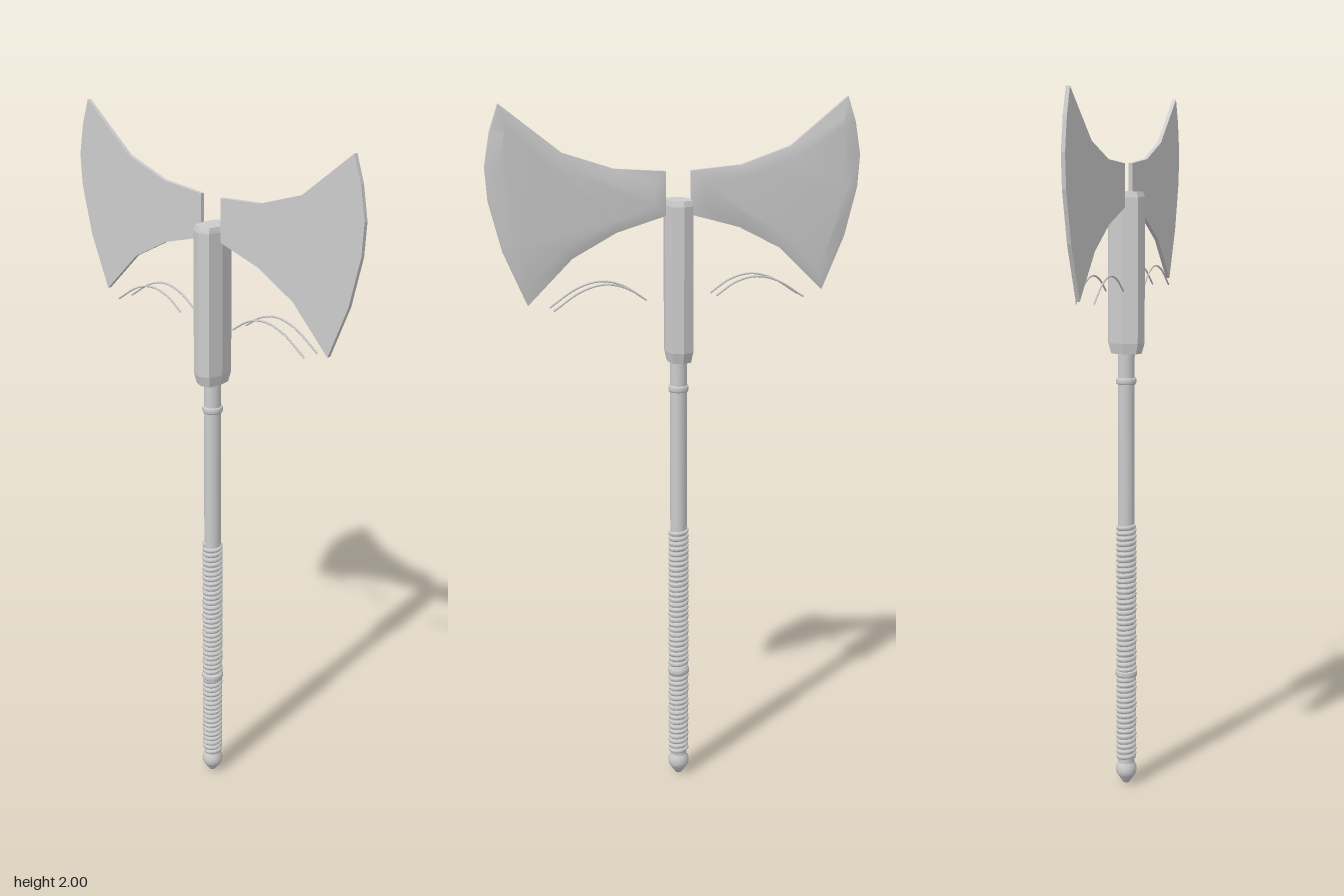
import * as THREE from 'three';
import { mergeGeometries } from 'three/addons/utils/BufferGeometryUtils.js';

const steel = new THREE.MeshStandardMaterial({ color: 0xcccccc });
steel.name = 'grey steel';
const facetedSteel = steel.clone();
facetedSteel.flatShading = true;

// Blade outline, counter-clockwise, for the +x side
const OUTLINE = [
  [0.036, 1.692], [0.176, 1.652], [0.3, 1.587], [0.424, 1.466], [0.488, 1.614], [0.523, 1.75],
  [0.529, 1.84], [0.513, 1.93], [0.489, 2.0], [0.323, 1.87], [0.18, 1.823], [0.036, 1.812],
];

function inset(points, d) {
  const n = points.length;
  const normal = (a, b) => new THREE.Vector2(a.y - b.y, b.x - a.x).normalize();
  return points.map((p, i) => {
    const n1 = normal(points[(i + n - 1) % n], p);
    const n2 = normal(p, points[(i + 1) % n]);
    return p.clone().addScaledVector(n1.clone().add(n2), d / (1 + n1.dot(n2)));
  });
}

function surface(positions, index, smooth) {
  let g = new THREE.BufferGeometry();
  g.setAttribute('position', new THREE.Float32BufferAttribute(positions, 3));
  g.setIndex(index);
  if (smooth) g.computeVertexNormals();
  g = g.toNonIndexed();
  if (!smooth) g.computeVertexNormals();
  return g;
}

// Flat front, thin rim, and a softly bevelled back
function bladeGeometry(points) {
  const n = points.length;
  const at = (pts, z) => pts.flatMap((p) => [p.x, p.y, z]);
  const band = [];
  for (let i = 0; i < n; i++) {
    const j = (i + 1) % n;
    band.push(i, n + i, n + j, i, n + j, j);
  }
  const inner = inset(points, 0.035);
  const front = THREE.ShapeUtils.triangulateShape(points, []);
  const back = THREE.ShapeUtils.triangulateShape(inner, []);
  const backIndex = back.flatMap(([a, b, c]) => [n + a, n + c, n + b]);
  return mergeGeometries([
    surface(at(points, 0.007), front.flat(), false),
    surface([...at(points, 0.007), ...at(points, -0.004)], band, false),
    surface([...at(points, -0.004), ...at(inner, -0.013)], [...band, ...backIndex], true),
  ]);
}

export function createModel() {
  const axe = new THREE.Group();
  axe.name = 'doubleAxe';
  const add = (name, geometry, material = steel) => {
    const mesh = new THREE.Mesh(geometry, material);
    mesh.name = name;
    axe.add(mesh);
    return mesh;
  };
  const lathe = (profile, sides) =>
    new THREE.LatheGeometry(profile.map(([r, y]) => new THREE.Vector2(r, y)), sides);

  // Twin blades, with fine curved wires below them
  for (const side of [1, -1]) {
    const label = side > 0 ? 'left' : 'right';
    const points = OUTLINE.map(([x, y]) => new THREE.Vector2(side * x, y));
    if (side < 0) points.reverse();
    add(label + 'Blade', bladeGeometry(points));

    for (const z of [0.022, -0.028]) {
      const curve = new THREE.CatmullRomCurve3(
        [[0.1, 1.468], [0.155, 1.503], [0.215, 1.517], [0.28, 1.502], [0.36, 1.452]]
          .map(([x, y]) => new THREE.Vector3(side * x, y, z)));
      add(label + (z > 0 ? 'Front' : 'Back') + 'Wire', new THREE.TubeGeometry(curve, 20, 0.0028, 6));
    }
  }

  // Eight-sided head socket, deeper than it is wide
  const socket = lathe([[0, 1.285], [0.84, 1.285], [1, 1.315], [1, 1.72], [0.9, 1.735], [0, 1.735]], 8);
  const pos = socket.attributes.position;
  for (let i = 0; i < pos.count; i++) {
    const x = pos.getX(i), z = pos.getZ(i);
    const fuller = Math.abs(x * z) > 0.01 ? 1.12 : 1;
    pos.setXYZ(i, x * 0.038 * fuller, pos.getY(i), z * 0.054 * fuller);
  }
  add('headSocket', socket, facetedSteel);

  // Shaft and its collars
  add('shaft', new THREE.CylinderGeometry(0.024, 0.024, 1.25, 16).translate(0, 0.685, 0));
  const collar = (name, y, r, h) => add(name, lathe(
    [[0.022, y - h], [r - 0.002, y - h], [r, y - h * 0.5], [r, y + h * 0.5], [r - 0.002, y + h], [0.022, y + h]], 16));
  collar('upperCollar', 1.206, 0.029, 0.009);
  collar('gripCollar', 0.342, 0.032, 0.009);

  // Cord wound around the grip
  const turns = 45, steps = turns * 12;
  const winding = [];
  for (let i = 0; i <= steps; i++) {
    const a = (i / 12) * Math.PI * 2;
    winding.push(new THREE.Vector3(Math.sin(a) * 0.0235, 0.075 + (i / steps) * 0.71, Math.cos(a) * 0.0235));
  }
  add('gripWrap', new THREE.TubeGeometry(new THREE.CatmullRomCurve3(winding), steps, 0.0072, 6));

  // Pommel with a blunt tip
  add('pommel', lathe([[0, 0], [0.009, 0.003], [0.025, 0.026], [0.029, 0.032], [0.031, 0.042],
    [0.03, 0.054], [0.025, 0.064], [0.022, 0.07]], 16));

  return axe;
}
